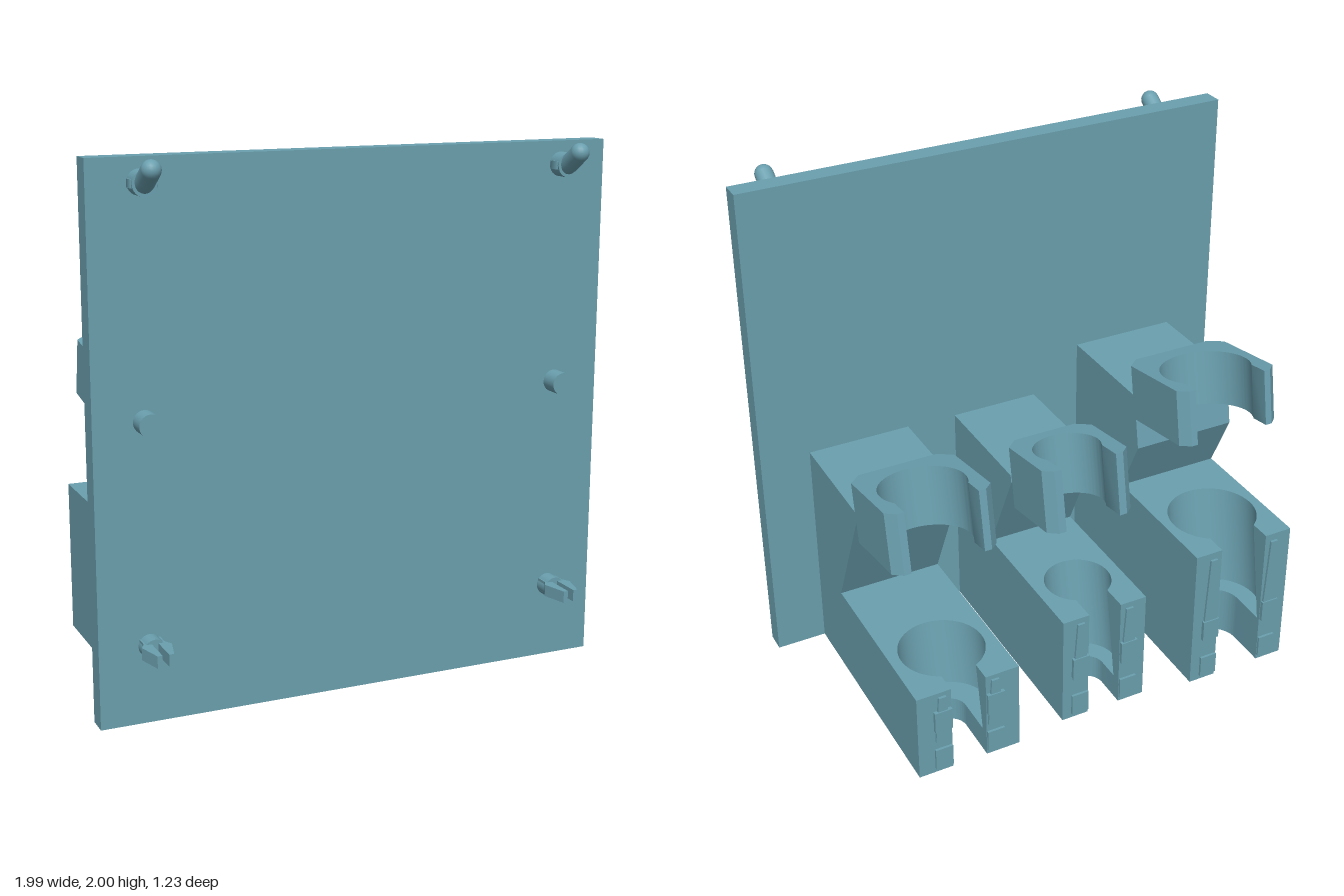
import * as THREE from 'three';
import { toCreasedNormals } from 'three/addons/utils/BufferGeometryUtils.js';

const TILT = THREE.MathUtils.degToRad(10);
const SLOPE = Math.tan(TILT);
const material = new THREE.MeshStandardMaterial({ color: 0x6a9fae });

function addMesh(parent, name, geometry, x = 0, y = 0, z = 0) {
  const mesh = new THREE.Mesh(geometry, material);
  mesh.name = name;
  mesh.position.set(x, y, z);
  parent.add(mesh);
  return mesh;
}

function polygon(points) {
  return new THREE.Shape(points.map(([x, y]) => new THREE.Vector2(x, y)));
}

// Plan shape (x, -z) raised along y
function raise(shape, height) {
  return new THREE.ExtrudeGeometry(shape, { depth: height, bevelEnabled: false, curveSegments: 40 })
    .rotateX(-Math.PI / 2);
}

// Side shape (-z, y) swept along x, centred
function sweepX(points, width) {
  return new THREE.ExtrudeGeometry(polygon(points), { depth: width, bevelEnabled: false })
    .rotateY(Math.PI / 2).translate(-width / 2, 0, 0);
}

// Block plan with a round pocket that opens to the back through a slot
function pocketPlan(w, front, back, radius, slot, centre, frontCut = 0, backCut = 0) {
  const s = new THREE.Shape();
  const a = Math.acos(slot / radius);
  s.moveTo(-w + frontCut, front);
  s.lineTo(w - frontCut, front);
  if (frontCut) s.lineTo(w, front + frontCut);
  s.lineTo(w, back - backCut);
  if (backCut) s.lineTo(w - backCut, back);
  s.lineTo(slot, back);
  s.absarc(0, centre, radius, a, Math.PI - a, true);
  s.lineTo(-slot, back);
  s.lineTo(-w + backCut, back);
  if (backCut) s.lineTo(-w, back - backCut);
  if (frontCut) s.lineTo(-w, front + frontCut);
  s.closePath();
  return s;
}

// Lean only the pocket wall, leaving the block faces upright
function leanPocket(geometry, w, front, back) {
  const p = geometry.attributes.position;
  for (let i = 0; i < p.count; i++) {
    const x = p.getX(i), s = -p.getZ(i);
    if (Math.abs(x) < w - 0.001 && s > front + 0.001 && s < back - 0.001) {
      p.setZ(i, p.getZ(i) + SLOPE * p.getY(i));
    }
  }
  geometry.computeVertexNormals();
  return geometry;
}

function makeHolder(o) {
  const g = new THREE.Group();
  g.name = o.name;
  g.position.x = o.x;
  const axis = (y) => o.axis + SLOPE * y;

  // Base: narrow slot below, wide leaning pocket above
  addMesh(g, 'baseFloor', toCreasedNormals(
    raise(pocketPlan(o.w, -0.36, o.back, o.slot, o.slot, o.slotCentre), o.floor), 0.5));
  const upper = raise(
    pocketPlan(o.w, -0.36, o.back, o.r, o.slot, -axis(o.floor)), o.baseTop - o.floor);
  addMesh(g, 'basePocket', toCreasedNormals(leanPocket(upper, o.w, -0.36, o.back), 0.5), 0, o.floor);

  // Column with an undercut face, trimmed along the pocket axis
  const trim = (y) => -(axis(y) + o.r + 0.01);
  const yCut = (o.undercut + 0.475 * o.baseTop - o.axis - o.r - 0.01) / (0.475 + SLOPE);
  addMesh(g, 'column', sweepX([
    [-0.36, o.baseTop], [-o.undercut, o.baseTop], [trim(yCut), yCut],
    [trim(o.columnTop), o.columnTop], [-0.36, o.columnTop],
  ], o.w * 2));

  // Tilted open ring
  const ringPlan = pocketPlan(o.w, -o.ringFront, 0.17, o.r, o.r * 0.87, 0, 0.05, 0.035);
  const ring = raise(ringPlan, o.ringHeight).translate(0, -o.ringHeight, 0);
  addMesh(g, 'openRing', toCreasedNormals(ring, 0.5), 0, o.ringTop, axis(o.ringTop))
    .rotation.x = TILT;

  // Tapered latch tongues and their ridges on both sides of the slot
  for (const side of [-1, 1]) {
    const x = side * (o.slot + 0.037);
    const h = o.baseTop * 0.55;
    const tongue = new THREE.ExtrudeGeometry(
      polygon([[-0.032, 0], [0.032, 0], [0.015, h], [-0.015, h]]),
      { depth: 0.016, bevelEnabled: false });
    addMesh(g, 'latchTongue', tongue, x, o.baseTop * 0.4, -o.back - 0.01);
    addMesh(g, 'latchRidge', new THREE.BoxGeometry(0.07, 0.09, 0.03), x, 0.245, -o.back);
    addMesh(g, 'latchFoot', new THREE.BoxGeometry(0.07, 0.09, 0.02), x, 0.065, -o.back);
  }
  return g;
}

function zCylinder(radius, length) {
  return new THREE.CylinderGeometry(radius, radius, length, 24).rotateX(Math.PI / 2);
}

// Fasteners on the front of the plate for one side
function makeFasteners(x) {
  const g = new THREE.Group();
  g.name = 'fasteners';
  g.position.x = x;

  // Upper bent hook
  addMesh(g, 'hookBase', zCylinder(0.045, 0.07), 0, 1.915, 0.465);
  addMesh(g, 'hookBarb', new THREE.CylinderGeometry(0.055, 0.055, 0.03, 6)
    .scale(1, 1, 0.8), 0, 1.915, 0.47);
  const path = new THREE.CatmullRomCurve3([
    new THREE.Vector3(0, 1.91, 0.45), new THREE.Vector3(0, 1.915, 0.49),
    new THREE.Vector3(0, 1.94, 0.53), new THREE.Vector3(0, 1.965, 0.567)]);
  addMesh(g, 'hookStem', new THREE.TubeGeometry(path, 16, 0.035, 20));
  addMesh(g, 'hookTip', new THREE.SphereGeometry(0.035, 20, 12), 0, 1.965, 0.567);

  // Middle locating pin
  addMesh(g, 'locatingPin', zCylinder(0.042, 0.08), 0, 1.1, 0.47);

  // Lower split snap clip
  addMesh(g, 'clipBase', zCylinder(0.042, 0.07), 0, 0.29, 0.465);
  for (const side of [-1, 1]) {
    const points = [[0.012, -0.44], [0.012, -0.615], [0.03, -0.615], [0.055, -0.52], [0.038, -0.49], [0.038, -0.44]];
    const prong = polygon(points.map(([px, s]) => [px * side, s]));
    addMesh(g, 'clipProng', raise(prong, 0.045), 0, 0.272);
  }
  return g;
}

export function createModel() {
  const model = new THREE.Group();
  model.name = 'wallHolder';
  addMesh(model, 'backPlate', new THREE.BoxGeometry(1.99, 2, 0.08), -0.002, 1, 0.4);

  const holders = [
    { name: 'tallHolder', x: -0.59, w: 0.213, back: 0.597, r: 0.175, slot: 0.1, slotCentre: 0.44,
      axis: -0.475, floor: 0.2, baseTop: 0.605, undercut: -0.03, columnTop: 1.06,
      ringTop: 1.21, ringFront: 0.245, ringHeight: 0.22 },
    { name: 'smallHolder', x: 0, w: 0.178, back: 0.562, r: 0.13, slot: 0.068, slotCentre: 0.435,
      axis: -0.43, floor: 0.1, baseTop: 0.47, undercut: 0.04, columnTop: 0.88,
      ringTop: 1.02, ringFront: 0.18, ringHeight: 0.25 },
    { name: 'lowHolder', x: 0.588, w: 0.207, back: 0.595, r: 0.165, slot: 0.07, slotCentre: 0.415,
      axis: -0.43, floor: 0.1, baseTop: 0.37, undercut: 0.12, columnTop: 0.885,
      ringTop: 1.03, ringFront: 0.225, ringHeight: 0.24 },
  ];
  for (const h of holders) model.add(makeHolder(h));
  for (const x of [-0.81, 0.81]) model.add(makeFasteners(x));
  return model;
}
